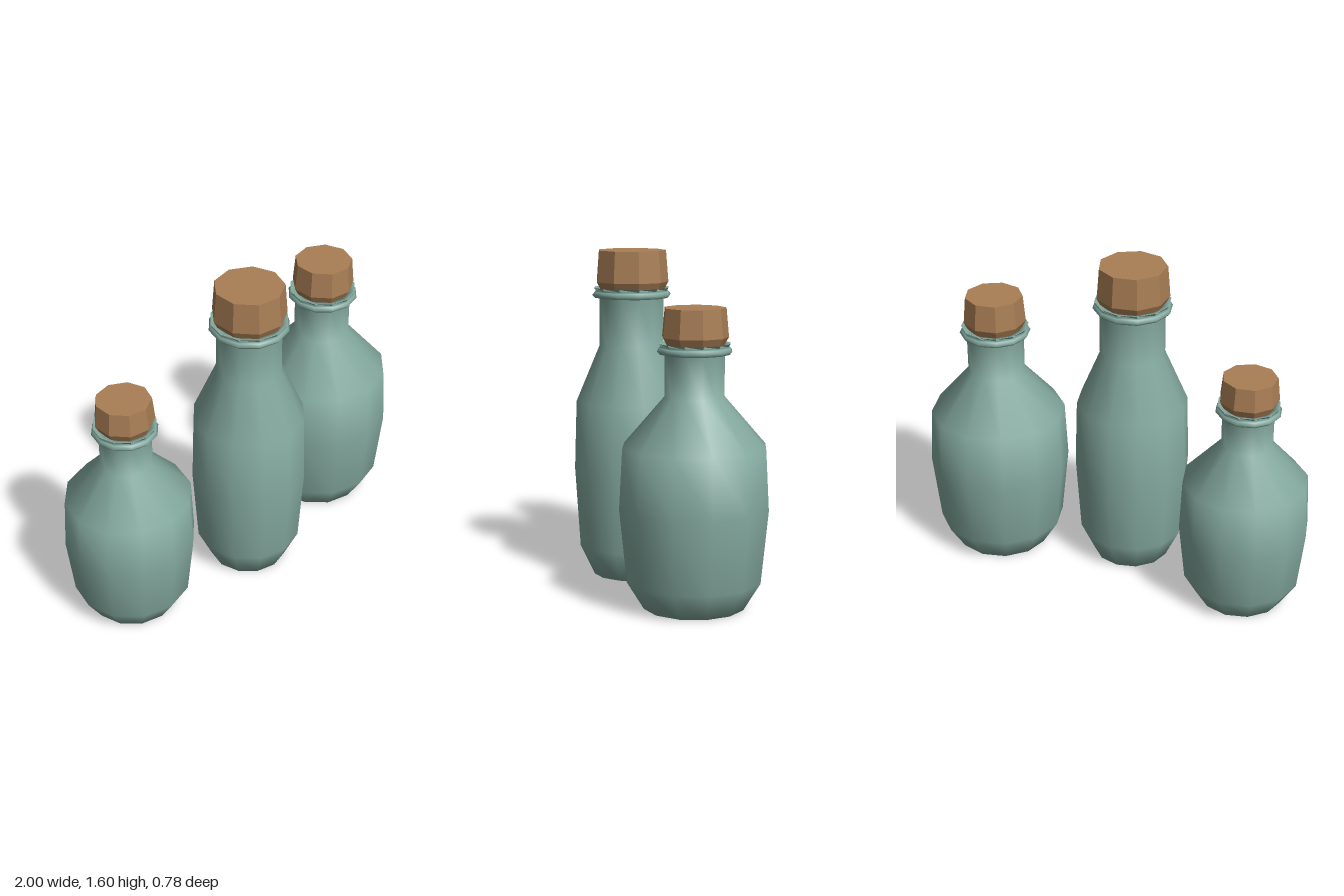
import * as THREE from 'three';

const glass = new THREE.MeshStandardMaterial({ color: 0x86aca1 });
glass.name = 'sage glass';
const corkMaterial = new THREE.MeshStandardMaterial({ color: 0xa97e55 });
corkMaterial.name = 'cork brown';

// body: [radius, height] from foot to neck base; lip: height of the lip top
const BOTTLES = [
  { name: 'smallBottle', x: -0.683, z: -0.05, neck: 0.125, ring: 0.158, lip: 1.08, cork: 0.143, top: 1.22,
    body: [[0.21, 0], [0.285, 0.12], [0.317, 0.41], [0.305, 0.665], [0.125, 0.865]] },
  { name: 'tallBottle', x: -0.025, z: 0.1, neck: 0.16, ring: 0.194, lip: 1.42, cork: 0.179, top: 1.6,
    body: [[0.19, 0], [0.26, 0.15], [0.285, 0.54], [0.275, 0.87], [0.16, 1.14]] },
  { name: 'wideBottle', x: 0.647, z: -0.05, neck: 0.14, ring: 0.174, lip: 1.22, cork: 0.154, top: 1.38,
    body: [[0.235, 0], [0.315, 0.13], [0.35, 0.47], [0.335, 0.75], [0.14, 0.975]] },
];

// Turned shape with its first corner pointing to +x
function turned(points, sides) {
  const profile = points.map(([r, y]) => new THREE.Vector2(r, y));
  return new THREE.LatheGeometry(profile, sides, Math.PI / 2);
}

function makeBottle({ name, x, z, neck, ring, lip, cork, top, body }) {
  const bottle = new THREE.Group();
  bottle.name = name;
  bottle.position.set(x, 0, z);

  // Glass: closed foot, body, neck, bead and flared lip, folding into the neck
  const shell = new THREE.Mesh(turned([
    [0, 0], ...body,
    [neck, lip - 0.05],
    [ring - 0.012, lip - 0.048],
    [ring, lip - 0.034],
    [ring - 0.01, lip - 0.02],
    [ring - 0.018, lip - 0.014],
    [ring - 0.008, lip],
    [neck * 0.9, lip - 0.012],
    [neck * 0.85, lip - 0.06],
  ], 12), glass);
  shell.name = 'glassBody';

  // Faceted cork with a chamfered underside and a slight taper to the top
  const corkGeometry = turned([
    [0, lip - 0.012],
    [cork - 0.02, lip - 0.012],
    [cork, lip + 0.028],
    [cork - 0.012, top],
    [0, top],
  ], 9).toNonIndexed();
  corkGeometry.computeVertexNormals();
  const stopper = new THREE.Mesh(corkGeometry, corkMaterial);
  stopper.name = 'corkStopper';

  bottle.add(shell, stopper);
  return bottle;
}

export function createModel() {
  const model = new THREE.Group();
  model.name = 'corkedBottles';
  for (const spec of BOTTLES) model.add(makeBottle(spec));
  return model;
}
